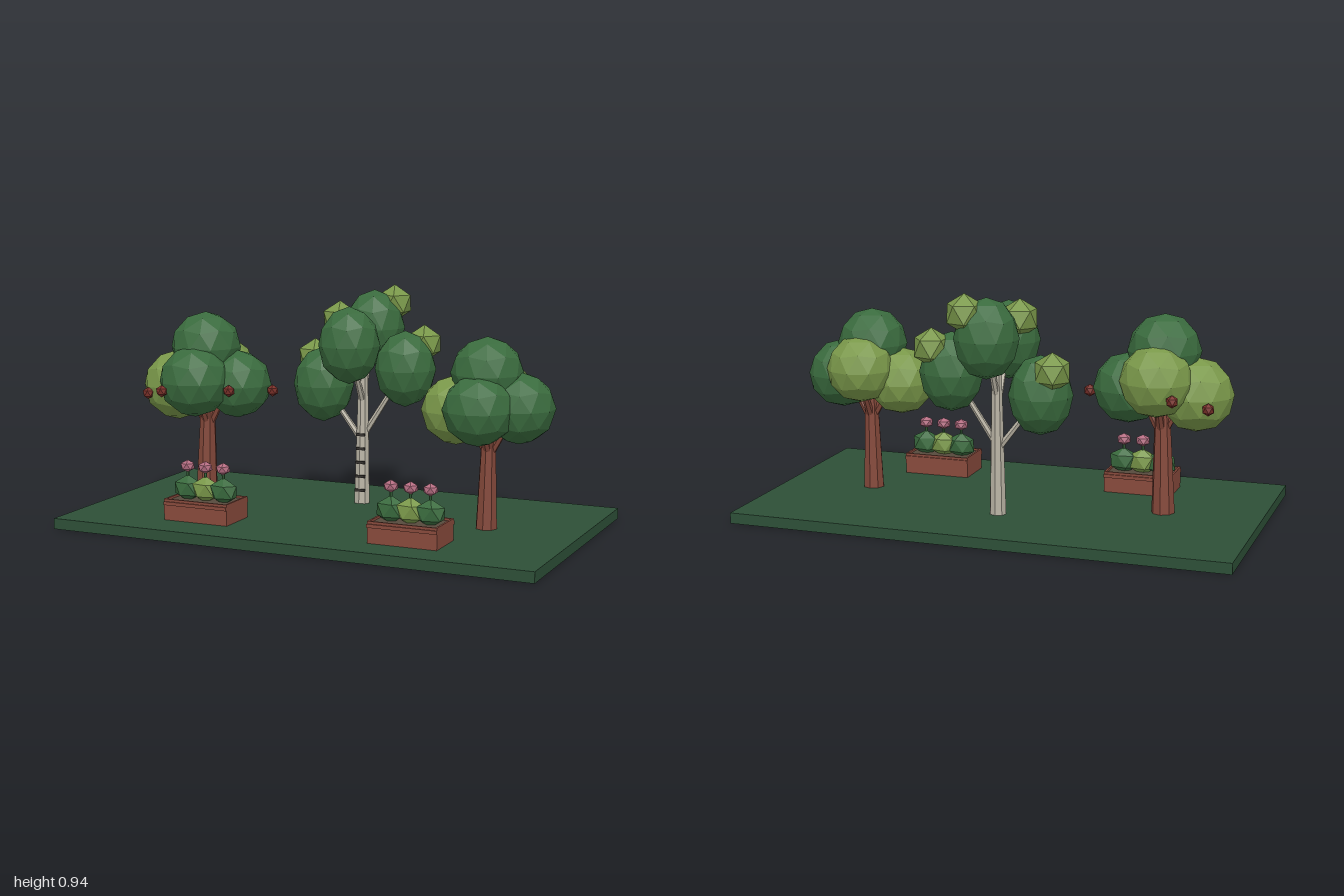
import * as THREE from 'three';

const mat = (name, color, extra = {}) =>
  new THREE.MeshStandardMaterial({ name, color, flatShading: true, ...extra });

export function createModel() {
  const M = {
    grass: mat('grass', 0x2d4f37),
    leaf: mat('dark leaf', 0x3a6b3e),
    light: mat('light leaf', 0x7a984a),
    bark: mat('red bark', 0x84483a),
    wood: mat('planter wood', 0x884a3c),
    soil: mat('soil', 0x564a3c),
    birch: mat('pale bark', 0xbab4a5),
    mark: mat('bark mark', 0x35322e),
    fruit: mat('fruit', 0x7a3029),
    petal: mat('petal', 0xb56d82),
  };
  const model = new THREE.Group();
  const GROUND = 0.043;

  const add = (parent, name, geo, material, x = 0, y = 0, z = 0) => {
    const mesh = new THREE.Mesh(geo, material);
    mesh.name = name;
    mesh.position.set(x, y, z);
    parent.add(mesh);
    return mesh;
  };
  const group = (name, x, y, z) => {
    const g = new THREE.Group();
    g.name = name;
    g.position.set(x, y, z);
    model.add(g);
    return g;
  };
  // faceted ball with a vertex pointing up, stretched to three radii
  const ball = (rx, ry, rz, detail = 0) =>
    new THREE.IcosahedronGeometry(1, detail).rotateZ(-0.5536).scale(rx, ry, rz);
  // tapered round limb between two points
  const limb = (parent, name, a, b, r0, r1, material, sides = 8) => {
    const p = new THREE.Vector3(...a), q = new THREE.Vector3(...b);
    const d = q.clone().sub(p);
    const mid = p.clone().add(q).multiplyScalar(0.5);
    const mesh = add(parent, name, new THREE.CylinderGeometry(r1, r0, d.length(), sides), material, mid.x, mid.y, mid.z);
    mesh.quaternion.setFromUnitVectors(new THREE.Vector3(0, 1, 0), d.normalize());
  };

  // ground slab
  add(model, 'ground', new THREE.BoxGeometry(2, GROUND, 1.11), M.grass, 0, GROUND / 2, 0);

  // round-crowned trees: lobes are [x, y, z, radius, material], relative to the trunk foot
  const roundTree = (name, x, lean, s, lobes) => {
    const tree = group(name, x, GROUND, 0);
    limb(tree, 'trunk', [0, 0, 0], [lean, 0.42 * s, 0], 0.047 * s, 0.03 * s, M.bark);
    for (const [dx, dz] of [[-0.08, 0], [0.08, 0], [0, 0.08], [0, -0.08]])
      limb(tree, 'branch', [lean, 0.31 * s, 0], [lean + dx, 0.46 * s, dz], 0.018, 0.012, M.bark, 6);
    for (const [lx, ly, lz, r, m] of lobes)
      add(tree, 'crownLobe', ball(r, r, r, 1), m, lx, ly - GROUND, lz);
    return tree;
  };
  const fruitTree = roundTree('fruitTree', -0.61, 0.01, 1, [
    [0.005, 0.69, 0, 0.145, M.leaf],
    [0.01, 0.56, 0.105, 0.147, M.leaf],
    [0.14, 0.54, -0.02, 0.14, M.leaf],
    [-0.125, 0.525, 0, 0.146, M.light],
    [0.01, 0.59, -0.105, 0.143, M.light],
  ]);
  roundTree('plainTree', 0.625, 0.005, 0.92, [
    [-0.005, 0.65, 0, 0.142, M.leaf],
    [-0.005, 0.52, 0.095, 0.14, M.leaf],
    [0.12, 0.52, -0.02, 0.14, M.leaf],
    [-0.13, 0.5, 0, 0.137, M.light],
    [0.005, 0.56, -0.1, 0.138, M.light],
  ]);

  // fruits around the crown
  for (const [x, y, z] of [
    [-0.81, 0.5, 0.125], [-0.685, 0.53, 0.23], [-0.44, 0.53, 0.115],
    [-0.315, 0.52, -0.03], [-0.69, 0.54, -0.225], [-0.81, 0.5, -0.14],
  ])
    add(fruitTree, 'fruit', ball(0.025, 0.025, 0.025), M.fruit, x + 0.61, y - GROUND, z);

  // pale tree with an open, branching crown
  const pale = group('paleTree', 0, 0, 0);
  limb(pale, 'trunk', [0, GROUND, -0.223], [0, 0.62, -0.235], 0.034, 0.02, M.birch);
  for (let i = 0; i < 5; i++)
    add(pale, 'barkMark', new THREE.BoxGeometry(0.044 - i * 0.002, 0.011, 0.012), M.mark,
      0.003, 0.1 + i * 0.058, -0.195 - i * 0.002);
  // each bough carries an oval lobe and a small light tip
  const boughs = [
    { from: 0.3, lobe: [-0.175, 0.53, -0.225], tip: [-0.24, 0.635, -0.285] },
    { from: 0.32, lobe: [0.175, 0.608, -0.262], tip: [0.235, 0.71, -0.32] },
    { from: 0.5, lobe: [0, 0.762, -0.352], tip: [0.07, 0.862, -0.4] },
    { from: 0.46, lobe: [0, 0.715, -0.092], tip: [-0.065, 0.812, -0.148] },
  ];
  for (const { from, lobe, tip } of boughs) {
    limb(pale, 'branch', [0, from, -0.23], lobe, 0.014, 0.009, M.birch, 6);
    add(pale, 'crownLobe', ball(0.126, 0.157, 0.124, 1), M.leaf, ...lobe);
    add(pale, 'crownTip', ball(0.077, 0.077, 0.077), M.light, ...tip);
  }

  // planters with bushes and flowers
  for (const [x, z] of [[-0.447, 0.305], [0.44, 0.33]]) {
    const p = group('planter', x, GROUND, z);
    const W = 0.28, D = 0.176, H = 0.085, T = 0.008;
    for (const s of [-1, 1]) {
      add(p, 'longWall', new THREE.BoxGeometry(W, H, T), M.wood, 0, H / 2, s * (D - T) / 2);
      add(p, 'endWall', new THREE.BoxGeometry(T, H, D - 2 * T), M.wood, s * (W - T) / 2, H / 2, 0);
      add(p, 'rail', new THREE.BoxGeometry(W, 0.014, 0.006), M.wood, 0, 0.068, s * (D / 2 + 0.003));
    }
    add(p, 'soil', new THREE.BoxGeometry(W - 2 * T, 0.076, D - 2 * T), M.soil, 0, 0.038, 0);
    for (const i of [-1, 0, 1]) {
      const bx = i * 0.08;
      add(p, 'bush', ball(0.065, 0.055, 0.042), i ? M.leaf : M.light, bx, 0.117, 0);
      add(p, 'stem', new THREE.CylinderGeometry(0.006, 0.006, 0.06, 6), M.leaf, bx, 0.172, 0);
      add(p, 'flower', ball(0.031, 0.025, 0.031), M.petal, bx, 0.207, 0);
    }
  }
  return model;
}
